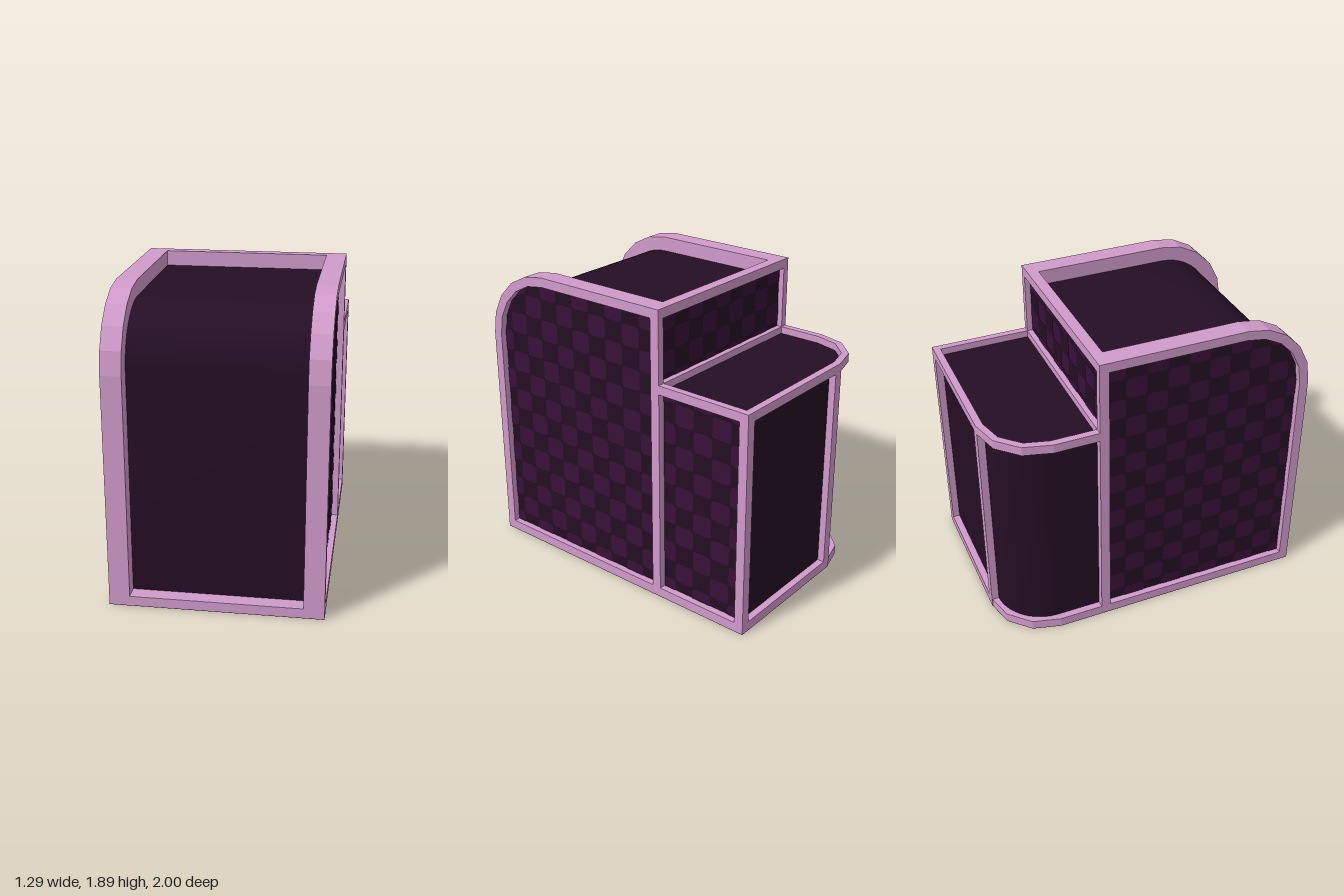
import * as THREE from 'three';
import { toCreasedNormals, mergeGeometries } from 'three/addons/utils/BufferGeometryUtils.js';

const W = 0.645, IN = 0.52, PANEL = 0.6; // half widths: outside, between side walls, recessed panels
const BACK = 0.37, TOP = 1.89, REAR_TOP = 1.435, Y0 = 0.002;

const V = (x, y) => new THREE.Vector2(x, y);

// Quarter arc from straight up round to the left
function arc(cx, cy, r, segs) {
  return Array.from({ length: segs + 1 }, (_, i) => {
    const a = Math.PI / 2 * (1 + i / segs);
    return V(cx + r * Math.cos(a), cy + r * Math.sin(a));
  });
}

// Side outline of the tall body, drawn in (-z, y)
function profile(r, y0, back, segs = 5) {
  return [V(-0.55 - r, y0), V(back, y0), V(back, 1.44 + r), ...arc(-0.55, 1.44, r, segs)];
}

// Plan outline of the low rear body, drawn in (x, -z)
function footprint(d, segs = 3) {
  return [V(-W + d, BACK), V(W - d, BACK), V(W - d, 1 - d), ...arc(-0.295, 0.65, 0.35 - d, segs)];
}

const rect = (x0, y0, x1, y1) => [V(x0, y0), V(x1, y0), V(x1, y1), V(x0, y1)];

function extrude(points, from, to, hole) {
  const shape = new THREE.Shape(points);
  if (hole) shape.holes.push(new THREE.Path(hole));
  const g = new THREE.ExtrudeGeometry(shape, { depth: to - from, bevelEnabled: false });
  return g.translate(0, 0, from);
}
const alongX = g => g.rotateY(Math.PI / 2);
const alongY = g => g.rotateX(-Math.PI / 2);

// Soft-cornered checks filling a rectangle; clamp keeps them inside the panel
function checks(u0, v0, u1, v1, depth, clamp = p => p) {
  const s = 0.1333, cells = [];
  const k = 2 / 7; // corner softness
  for (let i = Math.floor((u0 + 0.873) / s); -0.873 + i * s < u1; i++) {
    for (let j = Math.floor(v0 / s); j * s < v1; j++) {
      if ((i + j) % 2 === 0) continue;
      const pts = [];
      for (let n = 0; n < 16; n++) {
        const a = (n + 0.5) / 16 * Math.PI * 2, c = Math.cos(a), q = Math.sin(a);
        const u = -0.873 + s * (i + 0.5 + 0.5 * Math.sign(c) * Math.abs(c) ** k);
        const v = s * (j + 0.5 + 0.5 * Math.sign(q) * Math.abs(q) ** k);
        pts.push(clamp(V(THREE.MathUtils.clamp(u, u0, u1), THREE.MathUtils.clamp(v, v0, v1))));
      }
      const size = new THREE.Box2().setFromPoints(pts).getSize(V(0, 0));
      if (size.x < 0.01 || size.y < 0.01) continue;
      cells.push(new THREE.ShapeGeometry(new THREE.Shape(pts)));
    }
  }
  return mergeGeometries(cells).translate(0, 0, depth);
}

// Pulls points beyond the rounded top front corner back onto its arc
function clampToArc(p) {
  const c = V(-0.55, 1.44);
  if (p.x < c.x && p.y > c.y && p.distanceTo(c) > 0.39) p.sub(c).setLength(0.39).add(c);
  return p;
}

export function createModel() {
  const pink = new THREE.MeshStandardMaterial({ color: 0xd19bcb });
  pink.name = 'pink frame';
  const dark = new THREE.MeshStandardMaterial({ color: 0x240e24 });
  dark.name = 'dark panel';
  const purple = new THREE.MeshStandardMaterial({ color: 0x381039, side: THREE.DoubleSide });
  purple.name = 'purple check';

  const model = new THREE.Group();
  model.name = 'cabinet';
  const add = (name, geometry, material, parent = model) => {
    const mesh = new THREE.Mesh(geometry, material);
    mesh.name = name;
    parent.add(mesh);
    return mesh;
  };
  const box = (name, x0, x1, y0, y1, z0, z1, material) =>
    add(name, new THREE.BoxGeometry(x1 - x0, y1 - y0, z1 - z0)
      .translate((x0 + x1) / 2, (y0 + y1) / 2, (z0 + z1) / 2), material);

  // Tall body: smooth dark shell between two framed side walls
  add('frontShell', toCreasedNormals(
    alongX(extrude(profile(0.355, Y0, 0.3, 12), -IN, IN)), 0.5), dark);
  box('frontSill', -IN, IN, Y0, 0.062, 0.88, 1, pink);
  box('backWall', -IN, IN, Y0, TOP, -0.33, -0.3, pink);

  for (const side of [1, -1]) {
    const wall = new THREE.Group();
    wall.name = side > 0 ? 'leftWall' : 'rightWall';
    wall.scale.x = side;
    model.add(wall);
    const opening = profile(0.39, 0.062, 0.31);
    add('wallCore', alongX(extrude(profile(0.45, Y0, 0.33), IN, PANEL)), pink, wall);
    add('wallFrame', alongX(extrude(profile(0.45, Y0, 0.33), PANEL, W, opening)), pink, wall);
    add('wallPanel', alongX(extrude(opening, PANEL, PANEL + 0.003)), dark, wall);
    add('wallChecks', alongX(checks(-0.94, 0.062, 0.31, 1.83, PANEL + 0.006, clampToArc)), purple, wall);
  }

  // Framed upper back face
  add('backFrame', extrude(rect(-W, Y0, W, TOP), -BACK, -0.33,
    rect(-PANEL, REAR_TOP, PANEL, 1.83)), pink);
  box('backPanel', -PANEL, PANEL, REAR_TOP, 1.83, -0.334, -0.33, dark);
  add('backChecks', checks(-PANEL, REAR_TOP, PANEL, 1.83, -0.337), purple);

  // Low rear body with one rounded corner
  add('rearCore', toCreasedNormals(
    alongY(extrude(footprint(0.045, 10), Y0, 1.39)), 0.5), dark);
  add('rearBottomRail', alongY(extrude(footprint(0), Y0, 0.062)), pink);
  const [o0, ...outer] = footprint(0), [i0, ...inner] = footprint(0.045);
  add('rearTopRail', alongY(extrude([...outer, o0, i0, ...inner.reverse()], 1.378, REAR_TOP)), pink);
  box('rearCornerPost', W - 0.06, W, Y0, 1.38, -1, -0.94, pink);
  box('rearMiddlePost', -0.31, -0.25, Y0, 1.38, -1, -0.94, pink);

  // Checked panel on the straight side of the rear body
  add('rearSideChecks', alongX(checks(BACK + 0.005, 0.062, 0.94, 1.378, PANEL + 0.004)), purple);

  // Dark underside
  add('base', alongY(extrude([V(-W, -1), V(W, -1), ...footprint(0).slice(2)], 0, Y0)), dark);
  return model;
}
